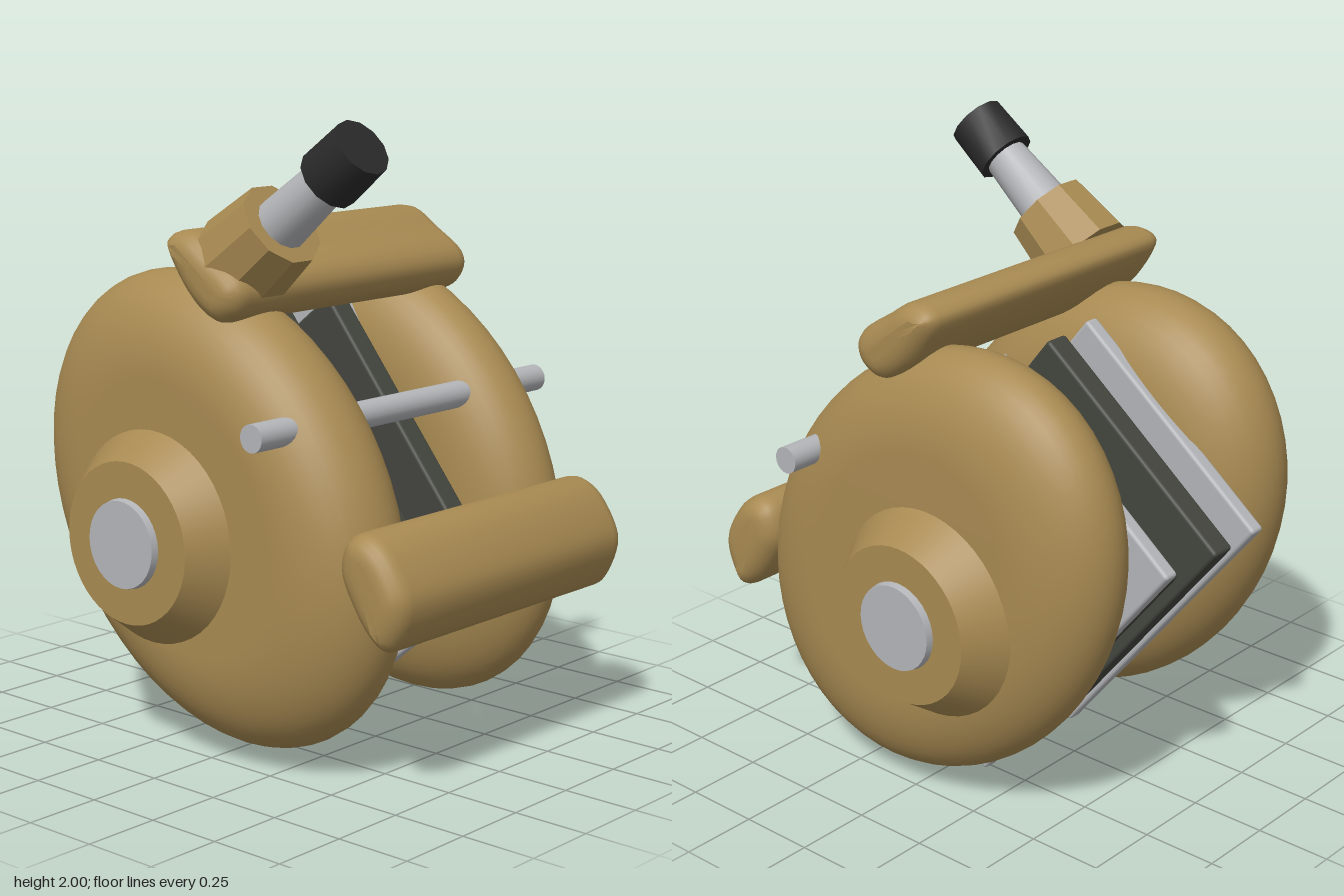
import * as THREE from 'three';
import { toCreasedNormals } from 'three/addons/utils/BufferGeometryUtils.js';
import { RoundedBoxGeometry } from 'three/addons/geometries/RoundedBoxGeometry.js';

export function createModel() {
  const model = new THREE.Group();
  const material = (name, color) => Object.assign(new THREE.MeshStandardMaterial({ color }), { name });
  const tan = material('tan', 0xa88a52);
  const steel = material('steel', 0xb4b5b8);
  const charcoal = material('charcoal', 0x43453e);
  const black = material('black', 0x2a2a2a);

  const add = (name, geometry, mat, x, y, z) => {
    const mesh = new THREE.Mesh(geometry, mat);
    mesh.name = name;
    mesh.position.set(x, y, z);
    model.add(mesh);
    return mesh;
  };
  const tilt = -0.9; // long axis of the body, leaning to lower right

  // Flattened oval shell with a rounded rim
  const shellGeometry = (halfDepth) => {
    const profile = [new THREE.Vector2(0, -1)];
    const rim = 0.42;
    for (let i = 0; i <= 20; i++) {
      const a = -Math.PI / 2 + (Math.PI * i) / 20;
      profile.push(new THREE.Vector2(1 - rim + rim * Math.cos(a), Math.sin(a)));
    }
    profile.push(new THREE.Vector2(0, 1));
    const g = new THREE.LatheGeometry(profile, 56);
    g.rotateX(Math.PI / 2);
    g.scale(0.797, 0.623, halfDepth);
    g.rotateZ(tilt);
    return g;
  };
  add('frontShell', shellGeometry(0.218), tan, -0.055, 0.785, 0.382);
  add('backShell', shellGeometry(0.186), tan, -0.055, 0.785, -0.414);

  // Hub cones and axle caps, one pair on each side
  for (const [side, s] of [['front', 1], ['back', -1]]) {
    const out = s > 0 ? 0.712 : 0.718;
    const cone = new THREE.CylinderGeometry(0.255, 0.34, out - 0.595, 48);
    add(side + 'Hub', cone, tan, -0.15, 0.71, s * (out + 0.595) / 2).rotation.x = s * Math.PI / 2;
    const cap = new THREE.CylinderGeometry(0.137, 0.148, 0.06, 32);
    add(side + 'AxleCap', cap, steel, -0.15, 0.71, s * (out - 0.007)).rotation.x = s * Math.PI / 2;
  }

  // Inner plates and dark pads
  for (const [side, plateZ, padZ] of [['front', 0.18, 0.101], ['back', -0.252, -0.174]]) {
    add(side + 'Plate', new RoundedBoxGeometry(1.17, 0.86, 0.054, 2, 0.012), steel, -0.125, 0.725, plateZ).rotation.z = tilt;
    add(side + 'Pad', new RoundedBoxGeometry(1.0, 0.87, 0.088, 2, 0.012), charcoal, -0.105, 0.73, padZ).rotation.z = tilt;
  }

  // Cross rod
  add('crossRod', new THREE.CylinderGeometry(0.043, 0.043, 1.37, 20), steel, 0.352, 1.1, 0).rotation.x = Math.PI / 2;

  // Soft bars bridging the two shells
  const barGeometry = (outline) => {
    const curve = new THREE.CatmullRomCurve3(outline.map(([x, y]) => new THREE.Vector3(x, y, 0)), true);
    const points = curve.getPoints(40).slice(0, -1).map((p) => new THREE.Vector2(p.x, p.y));
    const bevel = 0.07;
    const g = new THREE.ExtrudeGeometry(new THREE.Shape(points), {
      depth: 1.14 - 2 * bevel, bevelThickness: bevel, bevelSize: bevel, bevelOffset: -bevel, bevelSegments: 5,
    });
    g.translate(0, 0, -0.57 + bevel);
    return toCreasedNormals(g, 0.7);
  };
  add('topBar', barGeometry([[-0.14, 1.62], [-0.11, 1.652], [-0.03, 1.655], [0.06, 1.6], [0.16, 1.53],
    [0.178, 1.48], [0.15, 1.42], [0.08, 1.39], [0, 1.425], [-0.09, 1.52]]), tan, 0, 0, 0);
  add('sideBar', barGeometry([[0.563, 0.72], [0.59, 0.815], [0.65, 0.838], [0.72, 0.81], [0.79, 0.72],
    [0.813, 0.65], [0.79, 0.56], [0.74, 0.497], [0.68, 0.525], [0.6, 0.63]]), tan, 0, 0, 0);

  // Slanted lever: collar, tapered stem and grip
  const lever = new THREE.Group();
  lever.name = 'lever';
  lever.position.set(0.05, 1.56, 0.4);
  lever.rotation.z = -0.91;
  const leverPart = (name, mat, topR, bottomR, y0, y1, sides) => {
    const g = new THREE.CylinderGeometry(topR, bottomR, y1 - y0, sides);
    g.translate(0, (y0 + y1) / 2, 0);
    const mesh = new THREE.Mesh(toCreasedNormals(g, 0.6), mat);
    mesh.name = name;
    lever.add(mesh);
  };
  leverPart('leverCollar', tan, 0.14, 0.162, 0, 0.21, 10);
  leverPart('leverStem', steel, 0.07, 0.09, 0.15, 0.47, 14);
  leverPart('leverGrip', black, 0.095, 0.1, 0.44, 0.605, 12);
  model.add(lever);

  return model;
}
